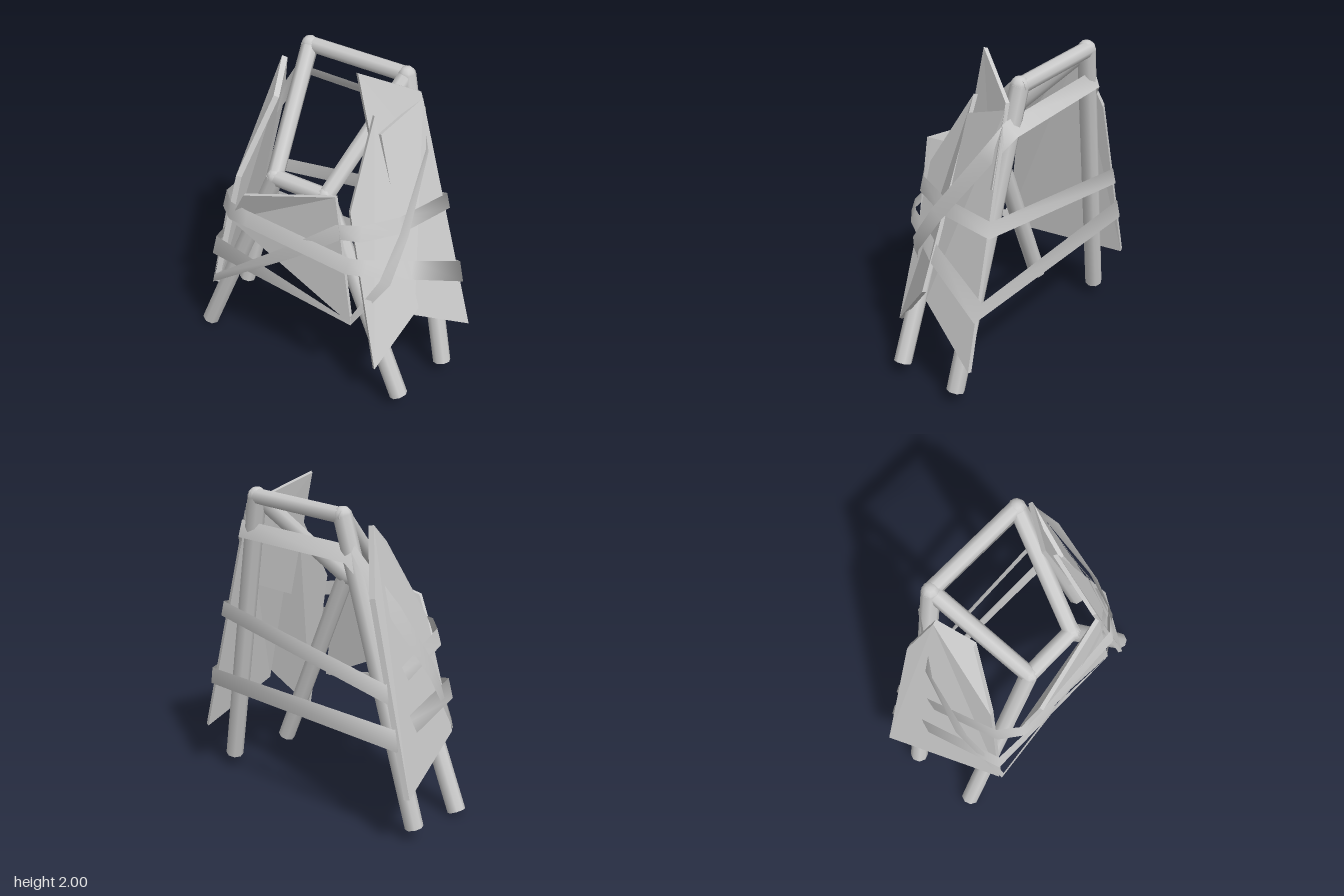
import * as THREE from 'three';

const V = (p) => new THREE.Vector3(...p);
const grey = new THREE.MeshStandardMaterial({ color: 0xcccccc });
const flat = new THREE.MeshStandardMaterial({ color: 0xcccccc, flatShading: true, side: THREE.DoubleSide });
const cloth = new THREE.MeshStandardMaterial({ color: 0xcccccc, side: THREE.DoubleSide });

function add(group, name, geometry, material) {
  const mesh = new THREE.Mesh(geometry, material);
  mesh.name = name;
  group.add(mesh);
  return mesh;
}

function surface(pos, index) {
  const geo = new THREE.BufferGeometry();
  geo.setAttribute('position', new THREE.Float32BufferAttribute(pos, 3));
  geo.setIndex(index);
  geo.computeVertexNormals();
  return geo;
}

// Round pole running between two points
function pole(group, name, a, b, r) {
  const from = V(a), to = V(b), dir = to.clone().sub(from);
  const mesh = add(group, name, new THREE.CylinderGeometry(r, r, dir.length(), 8), grey);
  mesh.position.copy(from).add(to).multiplyScalar(0.5);
  mesh.quaternion.setFromUnitVectors(new THREE.Vector3(0, 1, 0), dir.normalize());
}

function joint(group, p, r) {
  add(group, 'poleJoint', new THREE.SphereGeometry(r, 8, 6), grey).position.set(...p);
}

// Flat plank from a loop of corners, thickened along its average normal
function board(group, name, corners, thickness = 0.025) {
  const pts = corners.map(V), n = pts.length, normal = new THREE.Vector3();
  pts.forEach((p, i) => normal.add(p.clone().cross(pts[(i + 1) % n])));
  normal.normalize().multiplyScalar(thickness / 2);
  const pos = [], index = [];
  for (const s of [1, -1]) pts.forEach((p) => pos.push(...p.clone().addScaledVector(normal, s).toArray()));
  for (let i = 0; i < n; i++) {
    const j = (i + 1) % n;
    if (i > 0 && i < n - 1) index.push(0, i, j, n, n + j, n + i);
    index.push(i, n + i, n + j, i, n + j, j);
  }
  add(group, name, surface(pos, index), flat);
}

// Closed ribbon through stops of x, y, z and half width, lying flat against the sloping sides
function ribbon(group, name, stops) {
  const pos = [], index = [], n = stops.length;
  stops.forEach(([x, y, z, w], i) => {
    const p = V([x, y, z]);
    const before = V(stops[(i + n - 1) % n].slice(0, 3)).sub(p).normalize();
    const along = V(stops[(i + 1) % n].slice(0, 3)).sub(p).normalize().sub(before);
    const across = V([x, 0.25 * Math.abs(x), z]).cross(along).normalize().multiplyScalar(w);
    pos.push(...p.clone().add(across).toArray(), ...p.clone().sub(across).toArray());
    const a = 2 * i, b = 2 * ((i + 1) % n);
    index.push(a, a + 1, b + 1, a, b + 1, b);
  });
  add(group, name, surface(pos, index), cloth);
}

export function createModel() {
  const model = new THREE.Group();

  // Pole frame: tall back arch, low front arch, sloping links
  const frame = new THREE.Group();
  frame.name = 'poleFrame';
  model.add(frame);
  for (const s of [-1, 1]) {
    const backTop = [0.34 * s, 1.89, -0.37], frontTop = [0.18 * s, 1.31, 0.21];
    pole(frame, 'backLeg', [0.765 * s, 0.085, -0.22], backTop, 0.055);
    pole(frame, 'frontLeg', s < 0 ? [-0.735, 0.025, 0.21] : [0.72, 0.09, 0.21], frontTop, 0.055);
    pole(frame, 'slopingLink', frontTop, backTop, 0.05);
    joint(frame, backTop, 0.055);
    joint(frame, frontTop, 0.055);
  }
  pole(frame, 'topBar', [-0.36, 1.89, -0.375], [0.36, 1.89, -0.375], 0.048);
  pole(frame, 'frontBar', [-0.2, 1.31, 0.21], [0.2, 1.31, 0.21], 0.05);

  // Rough planks
  const planks = new THREE.Group();
  planks.name = 'planks';
  model.add(planks);
  board(planks, 'upperLeftPlank',
    [[0.21, 2, -0.05], [0.44, 1.82, -0.36], [0.57, 1.35, -0.36], [0.43, 1.2, -0.02]]);
  board(planks, 'lowerLeftPlank',
    [[0.45, 1.78, -0.36], [0.84, 0.31, -0.38], [0.69, 0.57, 0.03], [0.37, 1.66, -0.05]]);
  board(planks, 'frontLeftPlank',
    [[0.32, 1.76, -0.06], [0.72, 0.64, 0.03], [0.6, 0.3, 0.31], [0.36, 1.28, 0.23]]);
  board(planks, 'rightPlank',
    [[-0.44, 1.83, -0.25], [-0.35, 1.68, -0.04], [-0.47, 1.2, 0.19],
      [-0.57, 0.46, 0.33], [-0.84, 0.34, -0.38], [-0.56, 1.46, -0.37]], 0.035);
  board(planks, 'frontPlank',
    [[0.31, 1.4, 0.29], [-0.27, 1.25, 0.39], [-0.42, 1, 0.34], [0.44, 0.57, 0.31]]);

  // One long strap wound around everything
  ribbon(model, 'strap', [
    // top of the back, then down the right side
    [-0.42, 1.69, -0.4, 0.055], [-0.58, 1.35, -0.2, 0.045],
    [-0.63, 0.93, 0.08, 0.045], [-0.57, 0.5, 0.355, 0.035],
    // up across the front, level along the left, across the back
    [0.05, 0.96, 0.365, 0.04], [0.34, 1.18, 0.31, 0.05], [0.45, 1.17, 0.24, 0.05],
    [0.56, 1.14, 0, 0.05], [0.65, 1.14, -0.39, 0.05], [-0.69, 0.94, -0.39, 0.055],
    // right side, over the front plank, down the left, across the back
    [-0.52, 1.07, 0.27, 0.055], [-0.4, 1.08, 0.37, 0.055], [-0.27, 1.08, 0.385, 0.055],
    [0.42, 0.99, 0.335, 0.05], [0.5, 0.97, 0.27, 0.05], [0.65, 0.86, 0, 0.055],
    [0.77, 0.67, -0.39, 0.065], [-0.76, 0.68, -0.39, 0.065],
    // low across the front, up the left side to the back
    [-0.57, 0.74, 0.33, 0.065], [0.43, 0.58, 0.325, 0.02], [0.585, 0.85, 0.19, 0.045],
    [0.6, 1.1, 0.02, 0.045], [0.55, 1.5, -0.28, 0.045], [0.46, 1.68, -0.4, 0.055],
  ]);
  return model;
}
